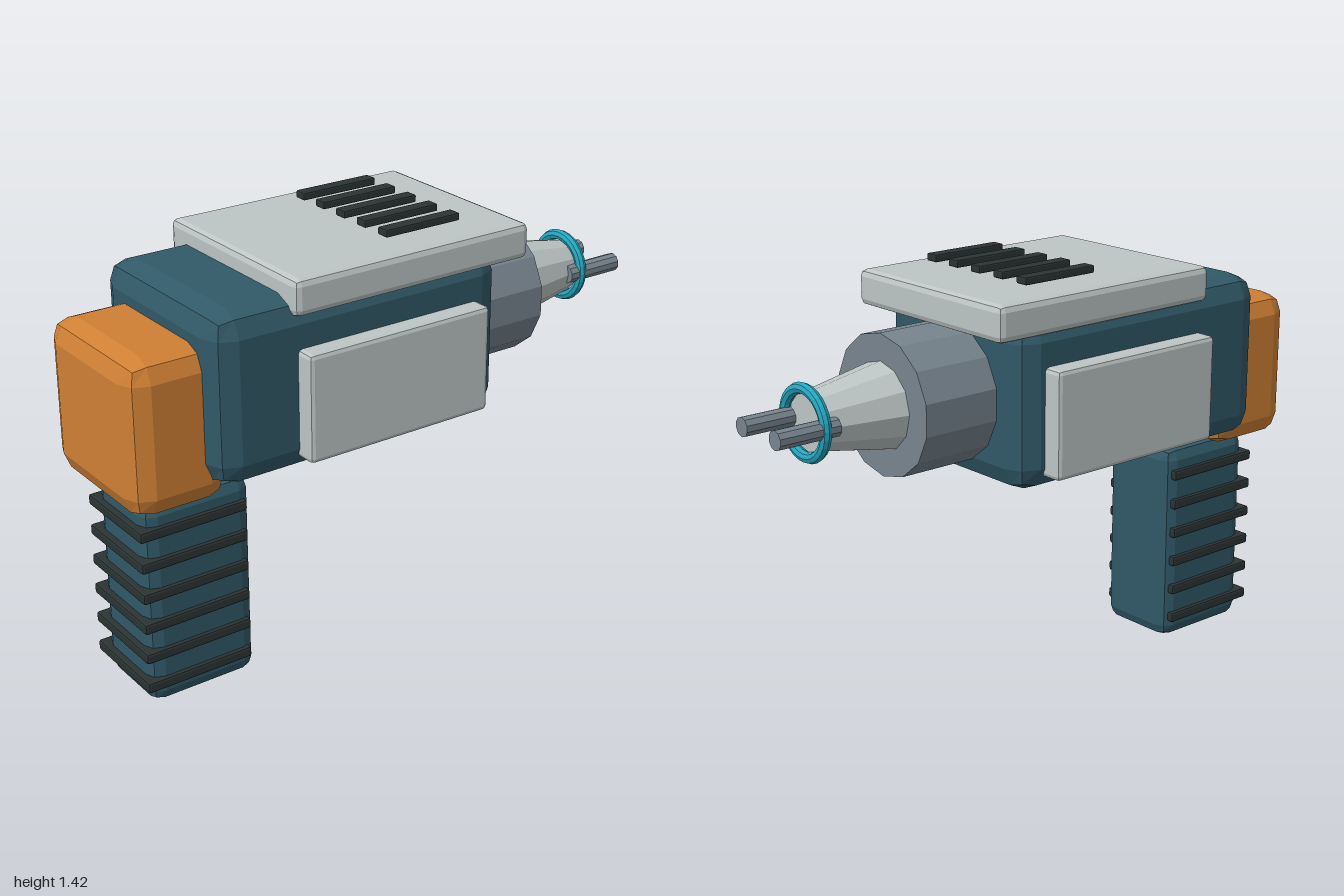
import * as THREE from 'three';
import { RoundedBoxGeometry } from 'three/addons/geometries/RoundedBoxGeometry.js';

const material = (name, color) => {
  const m = new THREE.MeshStandardMaterial({ color });
  m.name = name;
  return m;
};

export function createModel() {
  const model = new THREE.Group();
  model.name = 'handheldTool';

  const teal = material('dark teal', 0x315968);
  const orange = material('orange', 0xd08034);
  const pale = material('pale grey', 0xbdc6c5);
  const steel = material('steel grey', 0x77848e);
  const black = material('near black', 0x2b3333);
  const cyan = material('cyan', 0x25a6be);

  const add = (name, geometry, mat, x, y, z) => {
    // unshared vertices give crisp facets
    const g = geometry.index ? geometry.toNonIndexed() : geometry;
    g.computeVertexNormals();
    const mesh = new THREE.Mesh(g, mat);
    mesh.name = name;
    mesh.position.set(x, y, z);
    model.add(mesh);
    return mesh;
  };

  // Box with a two-facet bevel, given by its extents on each axis
  const block = (name, mat, [x0, x1], [y0, y1], [z0, z1], bevel) =>
    add(name, new RoundedBoxGeometry(x1 - x0, y1 - y0, z1 - z0, 1, bevel), mat,
      (x0 + x1) / 2, (y0 + y1) / 2, (z0 + z1) / 2);

  // Round part along z, running from its front z to its back z
  const AXIS_Y = 1.043;
  const barrel = (name, mat, rFront, rBack, zFront, zBack, sides, x = 0) => {
    const g = new THREE.CylinderGeometry(rFront, rBack, zFront - zBack, sides);
    g.rotateX(Math.PI / 2);
    return add(name, g, mat, x, AXIS_Y, (zFront + zBack) / 2);
  };

  // Housing and rear cap
  block('body', teal, [-0.335, 0.335], [0.765, 1.322], [-0.287, 0.762], 0.08);
  block('endCap', orange, [-0.256, 0.256], [0.703, 1.21], [0.67, 1], 0.072);

  // Grip with ribs
  block('handle', teal, [-0.149, 0.149], [0, 0.704], [0.537, 0.918], 0.046);
  for (let i = 0; i < 6; i++) {
    const y = 0.081 + i * 0.1055;
    block('gripRib', black, [-0.163, 0.163], [y - 0.018, y + 0.018], [0.563, 0.94], 0.008);
  }

  // Side panels
  for (const s of [-1, 1]) {
    const x = s * 0.347;
    block('sidePanel', pale, [x - 0.05, x + 0.05], [0.815, 1.165], [-0.19, 0.482], 0.015);
  }

  // Top cover and its vent bars
  block('topCover', pale, [-0.35, 0.35], [1.267, 1.384], [-0.38, 0.497], 0.022);
  for (let i = -2; i <= 2; i++) {
    const x = i * 0.1095;
    block('ventBar', black, [x - 0.023, x + 0.023], [1.4, 1.425], [-0.187, 0.094], 0.005);
  }

  // Nozzle
  barrel('collar', steel, 0.227, 0.227, -0.2, -0.557, 14);
  barrel('nozzleCone', pale, 0.143, 0.09, -0.54, -0.83, 12);
  add('nozzleRing', new THREE.TorusGeometry(0.106, 0.018, 8, 28), cyan, 0, AXIS_Y, -0.836);
  for (const s of [-1, 1]) {
    barrel('prong', steel, 0.031, 0.031, -0.787, -1, 10, s * 0.087);
  }

  return model;
}
